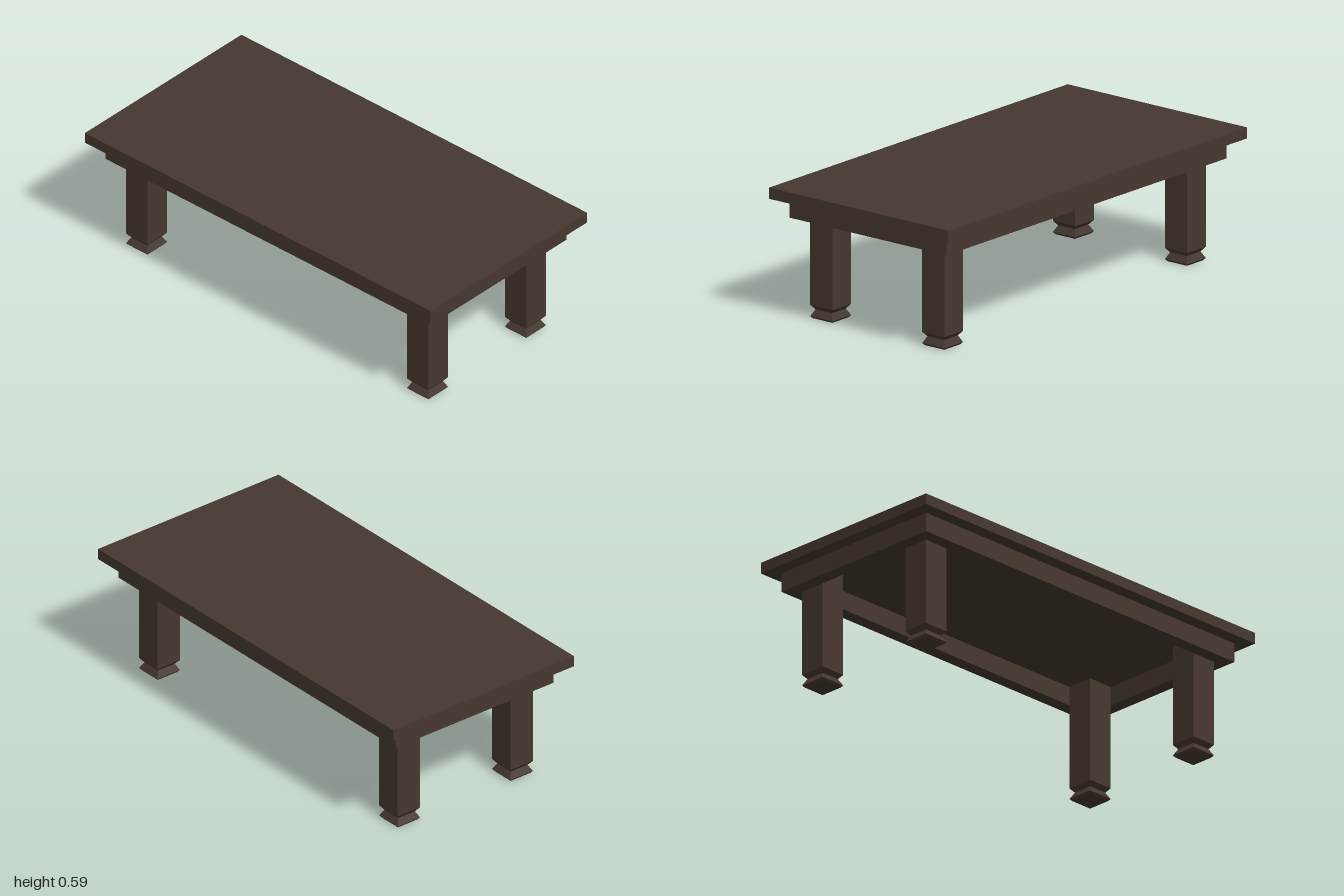
import * as THREE from 'three';

const TOP_Y = 0.59, TOP_UNDER = 0.54, APRON_UNDER = 0.453;

// Rectangle outline centred on the origin, from half sizes
function rectangle(Type, hx, hy) {
  return new Type([[-hx, -hy], [hx, -hy], [hx, hy], [-hx, hy]].map(([x, y]) => new THREE.Vector2(x, y)));
}

// Square turned leg: [half width, height] profile swept around four sides
function legGeometry() {
  const profile = [[0, 0], [0.054, 0], [0.0625, 0.01], [0.046, 0.04], [0.0625, 0.06], [0.0625, TOP_UNDER]];
  const points = profile.map(([half, y]) => new THREE.Vector2(half * Math.SQRT2, y));
  const geometry = new THREE.LatheGeometry(points, 4, Math.PI / 4).toNonIndexed();
  geometry.computeVertexNormals();
  return geometry;
}

export function createModel() {
  const table = new THREE.Group();
  table.name = 'table';
  const wood = new THREE.MeshStandardMaterial({ color: 0x46382f });
  wood.name = 'dark wood';

  const add = (name, geometry, x = 0, y = 0, z = 0) => {
    const mesh = new THREE.Mesh(geometry, wood);
    mesh.name = name;
    mesh.position.set(x, y, z);
    table.add(mesh);
  };

  // Table top slab
  add('tableTop', new THREE.BoxGeometry(1, TOP_Y - TOP_UNDER, 2), 0, (TOP_Y + TOP_UNDER) / 2, 0);

  // Apron frame, open underneath
  const frame = rectangle(THREE.Shape, 0.4375, 0.9375);
  frame.holes.push(rectangle(THREE.Path, 0.375, 0.875));
  const apron = new THREE.ExtrudeGeometry(frame, { depth: TOP_UNDER - APRON_UNDER, bevelEnabled: false });
  apron.rotateX(-Math.PI / 2);
  add('apron', apron, 0, APRON_UNDER, 0);

  // Four legs set into the inner corners of the apron
  const leg = legGeometry();
  for (const [sideName, sx] of [['Left', 1], ['Right', -1]]) {
    for (const [endName, sz] of [['front', 1], ['back', -1]]) {
      add(`${endName}${sideName}Leg`, leg, sx * 0.3125, 0, sz * 0.8125);
    }
  }
  return table;
}
